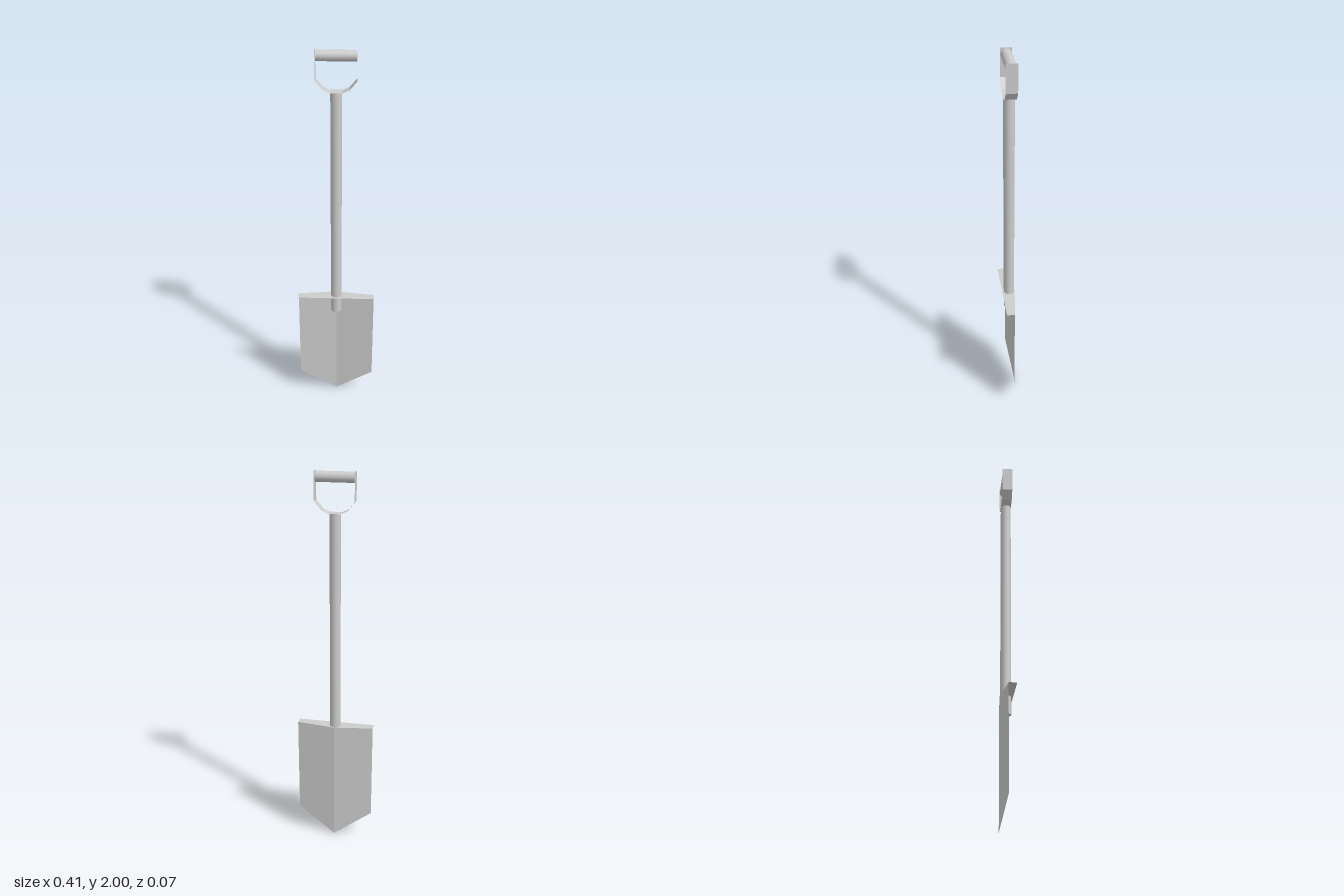
import * as THREE from 'three';

export function createModel() {
  const model = new THREE.Group();
  const steel = new THREE.MeshStandardMaterial({ color: 0xcccccc, side: THREE.DoubleSide });
  steel.name = 'grey steel';
  const axisZ = -0.004;

  const add = (name, geometry) => {
    const mesh = new THREE.Mesh(geometry, steel);
    mesh.name = name;
    model.add(mesh);
    return mesh;
  };

  // Flat-shaded sheet from quads or triangles, each a list of corners
  const sheet = (faces) => {
    const positions = [];
    for (const f of faces)
      for (let i = 1; i < f.length - 1; i++) positions.push(...f[0], ...f[i], ...f[i + 1]);
    const g = new THREE.BufferGeometry();
    g.setAttribute('position', new THREE.Float32BufferAttribute(positions, 3));
    g.computeVertexNormals();
    return g;
  };

  // Pointed blade, folded backwards along its centre line
  const top = 0.67, shoulder = 0.14, half = 0.203, edgeZ = -0.008, foldZ = -0.036;
  add('blade', sheet([
    [[-half, top, edgeZ], [-half, shoulder, edgeZ], [0, 0, foldZ], [0, top, foldZ]],
    [[0, top, foldZ], [0, 0, foldZ], [half, shoulder, edgeZ], [half, top, edgeZ]],
  ]));

  // Foot rest along the top of the blade
  const lip = 0.033;
  add('footRest', sheet([
    [[0, top, foldZ], [-half, top, edgeZ], [-half, top, lip], [0, top, lip]],
    [[0, top, foldZ], [0, top, lip], [half, top, lip], [half, top, edgeZ]],
  ]));

  // Long round shaft
  const shaftBottom = 0.575, shaftTop = 1.803;
  add('shaft', new THREE.CylinderGeometry(0.028, 0.028, shaftTop - shaftBottom, 16))
    .position.set(0, (shaftBottom + shaftTop) / 2, axisZ);

  // D-shaped strap carrying the grip
  const side = [[0.098, 2], [0.098, 1.86], [0.062, 1.817], [0.03, 1.803]];
  const path = [...side, ...side.map(([x, y]) => [-x, y]).reverse()];
  const front = axisZ + 0.028, back = axisZ - 0.028;
  add('handleStrap', sheet(path.slice(1).map(([x, y], i) => {
    const [px, py] = path[i];
    return [[px, py, back], [px, py, front], [x, y, front], [x, y, back]];
  })));

  // Crosswise grip
  const grip = add('grip', new THREE.CylinderGeometry(0.026, 0.026, 0.19, 16));
  grip.rotation.z = Math.PI / 2;
  grip.position.set(0, 1.972, axisZ);

  return model;
}
